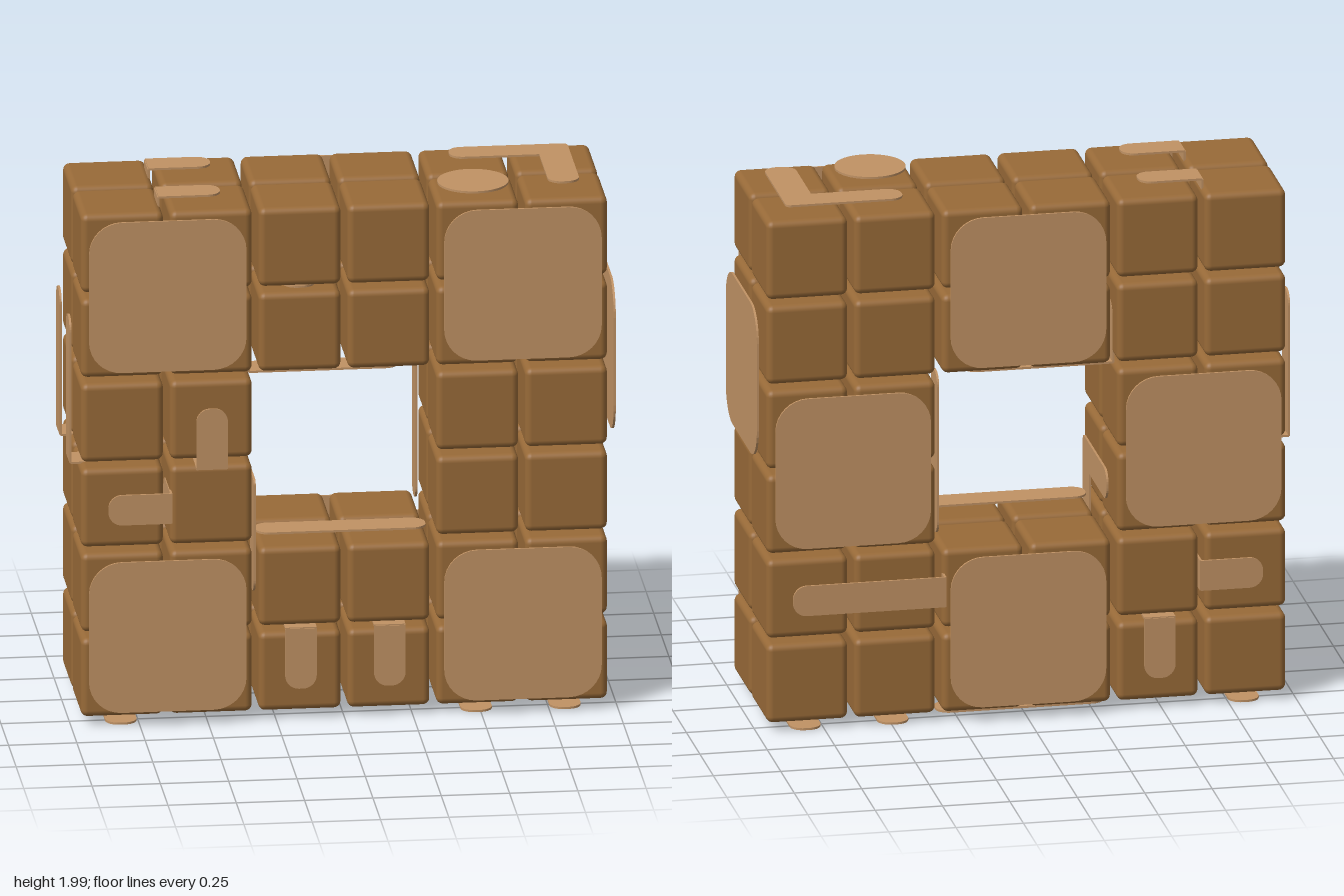
import * as THREE from 'three';
import { RoundedBoxGeometry } from 'three/addons/geometries/RoundedBoxGeometry.js';

const PITCH = 0.325, SIZE = 0.301, W = 0.115, THICK = 0.008, LEG = 0.23;

const V = (x, y, z) => new THREE.Vector3(x, y, z);
const PX = V(1, 0, 0), NX = V(-1, 0, 0), PY = V(0, 1, 0), NY = V(0, -1, 0), PZ = V(0, 0, 1), NZ = V(0, 0, -1);
const col = (i) => (i - 2.5) * PITCH;
const row = (j) => 0.185 + j * PITCH;
const lay = (k) => (k ? 0.164 : -0.161);

// Closed outline whose corners [x, y, radius] are rounded off
function roundedOutline(points) {
  const shape = new THREE.Shape();
  const pts = points.map(([x, y]) => new THREE.Vector2(x, y));
  const toward = (a, b, r) => a.clone().add(b.clone().sub(a).setLength(r));
  pts.forEach((p, i) => {
    const r = points[i][2] || 0;
    const prev = pts[(i + pts.length - 1) % pts.length], next = pts[(i + 1) % pts.length];
    const a = r ? toward(p, prev, r) : p, b = r ? toward(p, next, r) : p;
    if (i) shape.lineTo(a.x, a.y); else shape.moveTo(a.x, a.y);
    if (r) {
      const k = 0.552;
      const c1 = a.clone().lerp(p, k), c2 = b.clone().lerp(p, k);
      shape.bezierCurveTo(c1.x, c1.y, c2.x, c2.y, b.x, b.y);
    }
  });
  shape.closePath();
  return shape;
}

export function createModel() {
  const group = new THREE.Group();
  const cubeMat = new THREE.MeshStandardMaterial({ color: 0x986a38 });
  cubeMat.name = 'brown wood';
  const plateMat = new THREE.MeshStandardMaterial({ color: 0xc09264 });
  plateMat.name = 'pale wood';

  // Thin sheet of a given outline, lying in the plane of axes a and b
  function sheet(name, shape, p, a, b) {
    const geo = new THREE.ExtrudeGeometry(shape, { depth: THICK, bevelEnabled: false, curveSegments: 8 });
    geo.translate(0, 0, -THICK / 2);
    const m = new THREE.Matrix4().makeBasis(a, b, a.clone().cross(b)).setPosition(p);
    geo.applyMatrix4(m);
    const mesh = new THREE.Mesh(geo, plateMat);
    mesh.name = name;
    group.add(mesh);
  }

  // Strip running from p along d, facing n, with a rounded far end
  function strip(name, p, d, n, length, startRadius = 0) {
    const h = W / 2, r = 0.05;
    const shape = roundedOutline([[0, -h, startRadius], [length, -h, r], [length, h, r], [0, h, startRadius]]);
    sheet(name, shape, p, d, n.clone().cross(d));
  }

  // Strip folded at p: one leg over the surface, the other tucked into a gap
  function foldedStrip(name, p, d, length, inward) {
    strip(name, p, d, inward, length);
    strip(name + 'Tuck', p, inward, d, LEG);
  }

  // Large rounded square covering four cubes
  const s = 0.288, R = 0.12;
  const square = roundedOutline([[-s, -s, R], [s, -s, R], [s, s, R], [-s, s, R]]);

  // Flat corner piece over three cubes
  const elbow = roundedOutline([
    [0, 0, 0.02], [0.44, 0, 0.05], [0.44, W, 0.05], [W, W], [W, 0.435, 0.05], [0, 0.435, 0.05],
  ]);

  // Two layers of cubes around a square opening
  const cubeGeo = new RoundedBoxGeometry(SIZE, SIZE, SIZE, 3, 0.025);
  for (let i = 0; i < 6; i++) for (let j = 0; j < 6; j++) for (let k = 0; k < 2; k++) {
    if ((i === 2 || i === 3) && (j === 2 || j === 3)) continue;
    const cube = new THREE.Mesh(cubeGeo, cubeMat);
    cube.name = 'cube';
    cube.position.set(col(i), row(j), lay(k));
    group.add(cube);
  }

  // Square plates: front corners, back mid-sides, one on the left side
  for (const x of [-0.65, 0.65]) {
    for (const y of [0.347, 1.65]) sheet('frontPlate', square, V(x, y, 0.343), PX, PY);
    sheet('backPlate', square, V(x, 0.998, -0.343), PX, PY);
  }
  for (const y of [0.347, 1.65]) sheet('backPlate', square, V(0, y, -0.343), PX, PY);
  sheet('sidePlate', square, V(0.992, 1.32, 0.002), PZ, PY);

  // Front strips
  for (const i of [2, 3]) foldedStrip('frontStrip', V(col(i), 0.358, 0.343), NY, LEG, NZ);
  foldedStrip('frontStrip', V(col(1), 0.982, 0.343), PY, LEG, NZ);
  foldedStrip('frontStrip', V(-0.637, row(2), 0.343), NX, LEG, NZ);

  // Back strips
  foldedStrip('backStrip', V(0.308, row(1), -0.343), PX, 0.565, PZ);
  foldedStrip('backStrip', V(-0.64, row(1), -0.343), NX, LEG, PZ);
  foldedStrip('backStrip', V(col(1), 0.358, -0.343), NY, LEG, PZ);

  // Paired strips on the right side, the top and the ceiling of the opening
  for (const k of [0, 1]) {
    foldedStrip('sideStrip', V(-0.992, 0.982, lay(k)), PY, 0.55, PX);
    foldedStrip('topStrip', V(-0.67, 1.988, lay(k)), PX, LEG, NY);
    foldedStrip('ceilingStrip', V(-0.34, 1.307, lay(k)), PX, 0.55, PY);
  }

  // Top elbow and disc
  sheet('topElbow', elbow, V(0.875, 1.988, -0.225), NX, PZ);
  const disc = new THREE.Mesh(new THREE.CylinderGeometry(0.13, 0.13, THICK, 40), plateMat);
  disc.name = 'topDisc';
  disc.position.set(0.487, 1.988, 0.16);
  group.add(disc);

  // Inside the opening: wall elbow, floor strip and wall strip
  sheet('wallElbow', elbow, V(-0.318, 0.89, 0.22), NZ, NY);
  strip('floorStrip', V(-0.312, 0.685, lay(1)), PX, PY, 0.624, 0.05);
  strip('wallStrip', V(0.31, 0.685, lay(0)), PY, NX, 0.62, 0.05);

  // Strip in the gap of the upper beam
  strip('gapStrip', V(col(2), 1.657, -0.31), PZ, PY, 0.62, 0.05);

  // Strips underneath
  for (const i of [0, 4, 5]) strip('bottomStrip', V(col(i), 0.006, -0.31), PZ, NY, 0.62, 0.05);
  strip('bottomStrip', V(-0.312, 0.006, lay(0)), PX, NY, 0.624, 0.05);

  return group;
}
